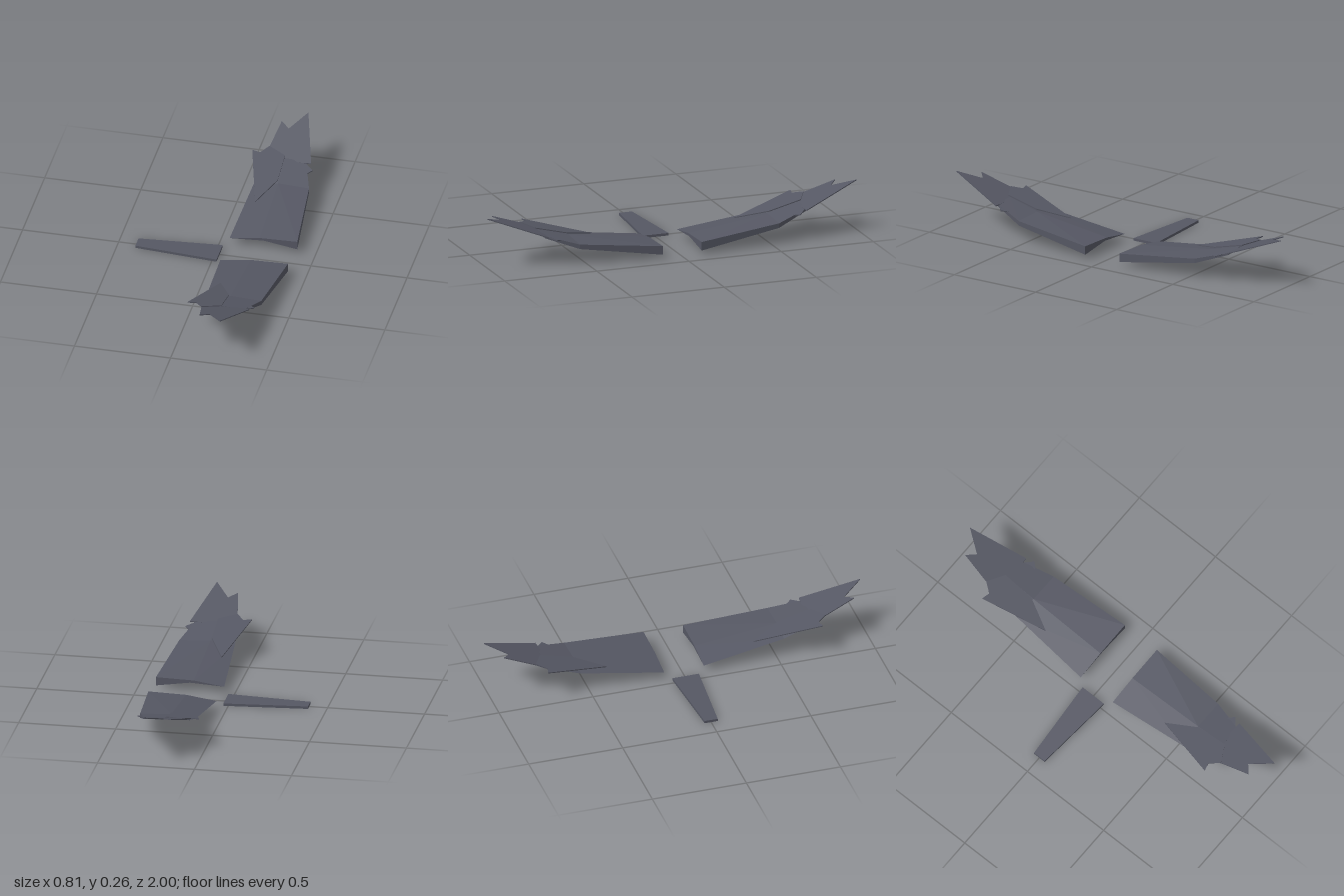
import * as THREE from 'three';

const slate = new THREE.MeshStandardMaterial({ color: 0x555763 });
slate.name = 'slate grey';

// Reverse the winding of every triangle
function flip(geo) {
  const p = geo.attributes.position, a = new THREE.Vector3(), b = new THREE.Vector3();
  for (let i = 0; i < p.count; i += 3) {
    a.fromBufferAttribute(p, i + 1);
    b.fromBufferAttribute(p, i + 2);
    p.setXYZ(i + 1, b.x, b.y, b.z);
    p.setXYZ(i + 2, a.x, a.y, a.z);
  }
  geo.computeVertexNormals();
  return geo;
}

// Faceted wing body through cross-sections {z, pts}; pts run
// leading top, mid top, trailing, mid bottom, leading bottom
function loft(sections) {
  const out = [], n = sections[0].pts.length;
  const v = (s, i) => [...sections[s].pts[i % n], sections[s].z];
  for (let s = 0; s < sections.length - 1; s++) {
    for (let i = 0; i < n; i++) {
      const a = v(s, i), b = v(s, i + 1), c = v(s + 1, i + 1), d = v(s + 1, i);
      out.push(...a, ...b, ...c, ...a, ...c, ...d);
    }
  }
  const last = sections.length - 1;
  for (let k = 2; k <= 4; k++) {
    out.push(...v(last, 1), ...v(last, k), ...v(last, k + 1));
    out.push(...v(0, 1), ...v(0, k + 1), ...v(0, k));
  }
  const geo = new THREE.BufferGeometry();
  geo.setAttribute('position', new THREE.Float32BufferAttribute(out, 3));
  geo.computeVertexNormals();
  return geo;
}

// Thin feather plate from an x/z outline, tilted so that y rises with z
function plate(outline, height, slope, thick = 0.005) {
  const shape = new THREE.Shape(outline.map(([x, z]) => new THREE.Vector2(x, z)));
  const geo = new THREE.ExtrudeGeometry(shape, { depth: thick, bevelEnabled: false });
  const p = geo.attributes.position;
  for (let i = 0; i < p.count; i++) {
    const z = p.getY(i);
    p.setXYZ(i, p.getX(i), height + slope * (z - 0.7) + p.getZ(i), z);
  }
  return flip(geo);
}

const wingParts = {
  wingBody: () => loft([
    { z: 0.105, pts: [[0.405, 0.065], [0.21, 0.06], [0.053, 0.037], [0.23, 0.047], [0.405, 0.02]] },
    { z: 0.54, pts: [[0.366, 0.108], [0.205, 0.116], [0.08, 0.099], [0.21, 0.105], [0.366, 0.084]] },
    { z: 0.71, pts: [[0.312, 0.155], [0.2, 0.161], [0.09, 0.153], [0.2, 0.15], [0.312, 0.144]] },
  ]),
  outerFeathers: () => plate([[0.08, 0.7], [0.2, 0.69], [0.34, 0.7], [0.257, 1], [0.18, 0.89],
    [0.135, 0.93], [0.108, 0.77]], 0.15, 0.357),
  trailingFeather: () => plate([[0.12, 0.39], [0.2, 0.55], [0.2, 0.72], [0.108, 0.77],
    [0.07, 0.72], [0.027, 0.73]], 0.161, 0.25),
  leadingSpike: () => plate([[0.27, 0.6], [0.335, 0.635], [0.357, 0.66], [0.31, 0.7]], 0.146, 0.25),
};

export function createModel() {
  const model = new THREE.Group();
  model.name = 'wingsAndTail';

  // Mirrored wings
  for (const side of [1, -1]) {
    const wing = new THREE.Group();
    wing.name = side > 0 ? 'frontWing' : 'backWing';
    for (const [name, build] of Object.entries(wingParts)) {
      const geo = build();
      if (side < 0) flip(geo.scale(1, 1, -1));
      const mesh = new THREE.Mesh(geo, slate);
      mesh.name = name;
      wing.add(mesh);
    }
    model.add(wing);
  }

  // Flat tail, narrowing to its free end
  const tailGeo = new THREE.BoxGeometry(0.43, 0.013, 0.14).translate(-0.19, 0.0065, 0);
  const p = tailGeo.attributes.position;
  for (let i = 0; i < p.count; i++) if (p.getX(i) < -0.19) p.setZ(i, p.getZ(i) * 0.5);
  const flat = tailGeo.toNonIndexed();
  flat.computeVertexNormals();
  const tail = new THREE.Mesh(flat, slate);
  tail.name = 'tail';
  model.add(tail);

  return model;
}
